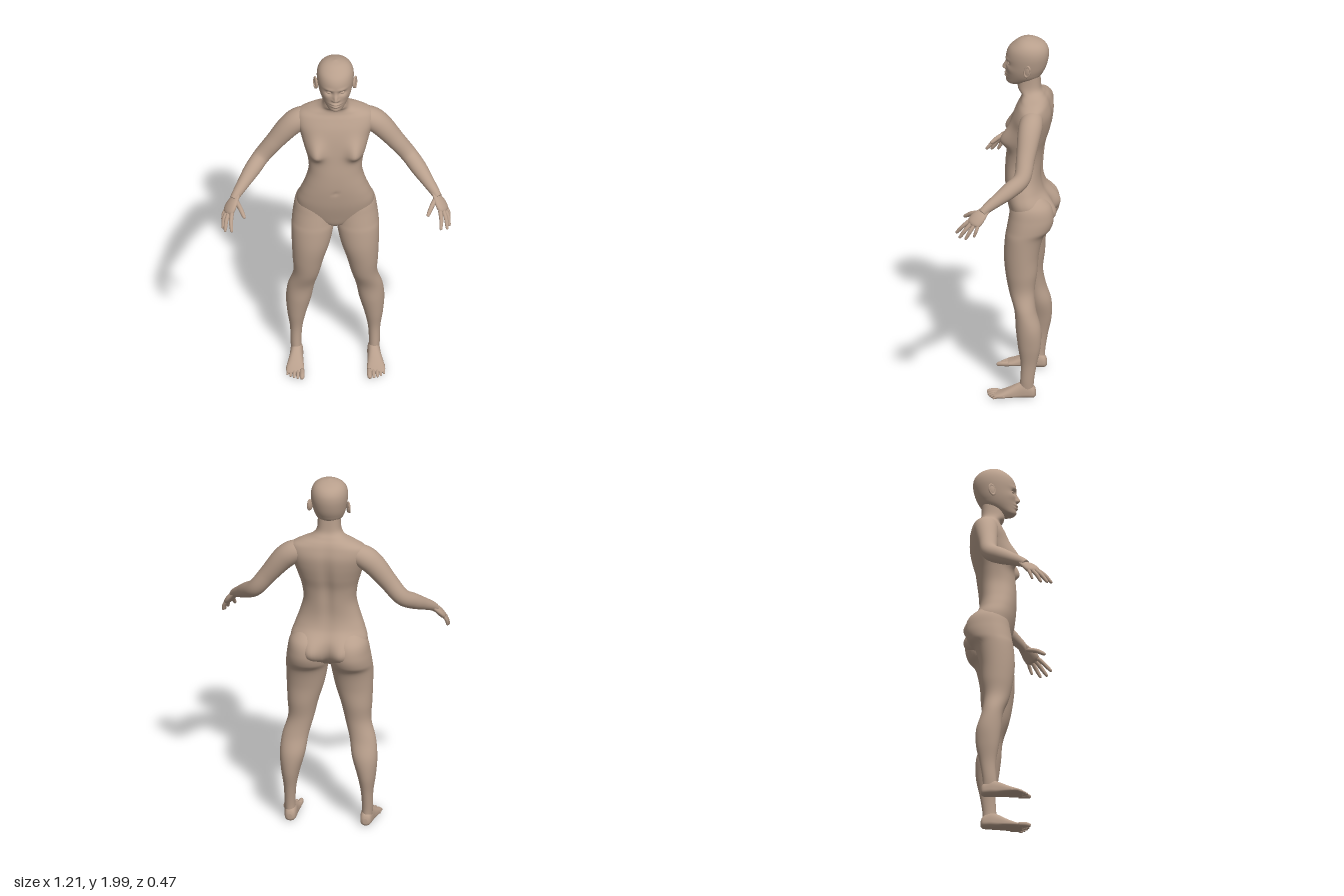
import * as THREE from 'three';

const skin = new THREE.MeshStandardMaterial({ color: 0xb89f8c });
skin.name = 'skin';

// Catmull-Rom interpolation over rows of numbers, t from 0 to 1
function rowAt(rows, t) {
  const last = rows.length - 1;
  const i = Math.min(Math.floor(t * last), last - 1), f = t * last - i;
  const [a, b, c, d] = [-1, 0, 1, 2].map(k => rows[Math.min(last, Math.max(0, i + k))]);
  return b.map((p, k) => p + 0.5 * f * (c[k] - a[k]
    + f * (2 * a[k] - 5 * p + 4 * c[k] - d[k] + f * (3 * (p - c[k]) + d[k] - a[k]))));
}

// Closed smooth skin over a list of rings
function skinRings(rings) {
  const n = rings[0].length, pos = [], idx = [];
  rings.forEach(r => r.forEach(p => pos.push(p.x, p.y, p.z)));
  for (let i = 0; i < rings.length - 1; i++) {
    for (let j = 0; j < n; j++) {
      const k = (j + 1) % n, a = i * n + j, b = i * n + k;
      idx.push(a, a + n, b, b, a + n, b + n);
    }
  }
  [0, rings.length - 1].forEach((e, end) => {
    const c = new THREE.Vector3();
    rings[e].forEach(p => c.addScaledVector(p, 1 / n));
    const m = pos.length / 3;
    pos.push(c.x, c.y, c.z);
    for (let j = 0; j < n; j++) {
      const a = e * n + j, b = e * n + (j + 1) % n;
      if (end) idx.push(m, b, a); else idx.push(m, a, b);
    }
  });
  const g = new THREE.BufferGeometry();
  g.setAttribute('position', new THREE.Float32BufferAttribute(pos, 3));
  g.setIndex(idx);
  g.computeVertexNormals();
  return g;
}

// Upright loft; rows are [y, centre x, half width, centre z, front z, back z]
function loft(rows, { steps = 60, sides = 40, power = 1, shape } = {}) {
  const rings = [];
  const pw = v => Math.sign(v) * Math.abs(v) ** power;
  for (let i = 0; i <= steps; i++) {
    const [y, cx, w, cz, front, back] = rowAt(rows, i / steps);
    rings.push(Array.from({ length: sides }, (_, j) => {
      const a = j / sides * Math.PI * 2, s = pw(Math.sin(a));
      const p = new THREE.Vector3(cx + w * pw(Math.cos(a)), y, cz + (s > 0 ? (front - cz) * s : (cz - back) * s));
      if (shape) shape(p, s);
      return p;
    }));
  }
  return skinRings(rings);
}

// Tapered limb; rows are [x, y, z, radius], optionally flattened along a direction
function limb(rows, { steps = 24, sides = 20, flatDir, flat = 1 } = {}) {
  const curve = new THREE.CatmullRomCurve3(
    Array.from({ length: steps + 1 }, (_, i) => new THREE.Vector3(...rowAt(rows, i / steps))));
  const rings = [];
  let N = new THREE.Vector3(0, 0, 1);
  for (let i = 0; i <= steps; i++) {
    const t = i / steps, r = Math.max(rowAt(rows, t)[3], 0.0005);
    const T = curve.getTangent(t);
    N = N.clone().addScaledVector(T, -N.dot(T)).normalize();
    const B = T.clone().cross(N);
    rings.push(Array.from({ length: sides }, (_, j) => {
      const a = j / sides * Math.PI * 2;
      const off = N.clone().multiplyScalar(r * Math.cos(a)).addScaledVector(B, -r * Math.sin(a));
      if (flatDir) off.addScaledVector(flatDir, -off.dot(flatDir) * (1 - flat));
      return off.add(curve.points[i]);
    }));
  }
  return skinRings(rings);
}

// Rounded digit from base to tip through a middle joint
function digit(base, mid, tip, r) {
  const b = new THREE.Vector3(...base), m = new THREE.Vector3(...mid), t = new THREE.Vector3(...tip);
  const pre = m.clone().lerp(t, 0.65), end = m.clone().lerp(t, 0.93);
  return limb([[...b, r], [...m, r], [...pre, r * 0.85], [...end, r * 0.6], [...t, 0.001]], { steps: 16, sides: 12 });
}

function mirrored(geo) {
  const g = geo.clone().scale(-1, 1, 1), ix = g.index.array;
  for (let i = 0; i < ix.length; i += 3) [ix[i], ix[i + 1]] = [ix[i + 1], ix[i]];
  g.computeVertexNormals();
  return g;
}

const bump = (dx, dy, sx, sy = sx) => Math.exp(-((dx / sx) ** 2) - (dy / sy) ** 2);

export function createModel() {
  const model = new THREE.Group();
  model.name = 'humanFigure';
  const add = (name, geo) => {
    const m = new THREE.Mesh(geo, skin);
    m.name = name;
    model.add(m);
  };
  const addPair = (name, geo) => {
    add('left' + name, geo);
    add('right' + name, mirrored(geo));
  };

  // Torso and neck, with chest, hip and spine relief
  add('torso', loft([
    [0.925, 0, 0.02, -0.05, -0.02, -0.09], [0.95, 0, 0.09, -0.06, 0, -0.13],
    [1.0, 0, 0.185, -0.08, 0.015, -0.17], [1.08, 0, 0.205, -0.08, 0.035, -0.18],
    [1.15, 0, 0.185, -0.06, 0.045, -0.155], [1.22, 0, 0.16, -0.05, 0.05, -0.145],
    [1.3, 0, 0.141, -0.05, 0.048, -0.15], [1.38, 0, 0.148, -0.06, 0.04, -0.16],
    [1.45, 0, 0.167, -0.07, 0.032, -0.18], [1.52, 0, 0.187, -0.09, 0.02, -0.195],
    [1.58, 0, 0.205, -0.1, 0.003, -0.2], [1.63, 0, 0.198, -0.11, -0.02, -0.19],
    [1.66, 0, 0.15, -0.11, -0.035, -0.178], [1.685, 0, 0.09, -0.1, -0.035, -0.16],
    [1.72, 0, 0.064, -0.08, -0.015, -0.14], [1.8, 0, 0.06, -0.08, -0.025, -0.135],
  ], { steps: 110, sides: 80, power: 0.87, shape: (p, s) => {
    const x = Math.abs(p.x);
    if (s > 0) {
      p.z += Math.min(1, s * 2) * 0.05 * bump(x - 0.108, p.y - 1.44, 0.046, p.y > 1.44 ? 0.075 : 0.042);
      p.z -= 0.006 * bump(x, p.y - 1.19, 0.012);
    } else {
      p.z -= Math.min(1, -s * 2) * 0.06 * bump(x - 0.085, p.y - 1.02, 0.07, 0.08);
      p.z += Math.min(1, -s * 2) * 0.014 * bump(x, p.y - 1.4, 0.03, 0.22);
    }
  } }));

  // Head with sculpted face
  add('head', loft([
    [1.733, 0, 0.022, 0, 0.025, -0.03], [1.742, 0, 0.042, -0.01, 0.04, -0.07],
    [1.775, 0, 0.068, -0.05, 0.046, -0.128], [1.81, 0, 0.083, -0.06, 0.047, -0.153],
    [1.85, 0, 0.092, -0.065, 0.046, -0.17], [1.9, 0, 0.098, -0.07, 0.047, -0.18],
    [1.94, 0, 0.094, -0.07, 0.033, -0.176], [1.97, 0, 0.078, -0.07, 0.003, -0.155],
    [1.99, 0, 0.048, -0.07, -0.028, -0.115], [2.0, 0, 0.004, -0.07, -0.066, -0.074],
  ], { steps: 100, sides: 112, shape: (p, s) => {
    if (s < 0.3) return;
    const x = Math.abs(p.x), y = p.y;
    p.z += 0.022 * bump(x, y - 1.822, 0.012, y > 1.822 ? 0.03 : 0.011)
      + 0.007 * bump(x - 0.014, y - 1.817, 0.008)
      + 0.011 * (bump(x, y - 1.79, 0.024, 0.007) + bump(x, y - 1.775, 0.022, 0.007))
      - 0.004 * bump(x, y - 1.783, 0.026, 0.003)
      + 0.006 * bump(x, y - 1.75, 0.025, 0.012)
      + 0.005 * bump(x - 0.035, y - 1.882, 0.026, 0.009)
      - 0.013 * bump(x - 0.034, y - 1.858, 0.018, 0.012)
      + 0.005 * bump(x - 0.055, y - 1.83, 0.02);
  } }));
  addPair('Eye', new THREE.SphereGeometry(0.013, 20, 14).scale(1.15, 0.75, 1).translate(0.034, 1.857, 0.022));
  addPair('Ear', new THREE.SphereGeometry(1, 20, 16).scale(0.008, 0.033, 0.019)
    .rotateX(-0.2).rotateY(-0.4).translate(0.101, 1.842, -0.078));
  addPair('EarRim', new THREE.TorusGeometry(0.02, 0.005, 8, 28).scale(0.8, 1.45, 1)
    .rotateY(Math.PI / 2 - 0.4).rotateX(-0.2).translate(0.106, 1.842, -0.08));

  // Legs from hip to ankle
  addPair('Leg', loft([
    [0.04, 0.202, 0.029, -0.09, -0.05, -0.13], [0.1, 0.207, 0.029, -0.094, -0.057, -0.13],
    [0.2, 0.206, 0.033, -0.1, -0.06, -0.145], [0.3, 0.203, 0.05, -0.1, -0.045, -0.165],
    [0.4, 0.193, 0.067, -0.1, -0.032, -0.165], [0.5, 0.18, 0.07, -0.08, -0.023, -0.137],
    [0.6, 0.153, 0.069, -0.06, 0.01, -0.126], [0.7, 0.143, 0.083, -0.055, 0.03, -0.138],
    [0.8, 0.13, 0.1, -0.055, 0.04, -0.145], [0.9, 0.121, 0.111, -0.06, 0.035, -0.168],
    [0.95, 0.117, 0.112, -0.075, 0.027, -0.207], [1.01, 0.113, 0.108, -0.085, 0.017, -0.222],
    [1.08, 0.11, 0.096, -0.09, 0.005, -0.205], [1.14, 0.1, 0.06, -0.08, -0.02, -0.14],
  ], { steps: 90, sides: 44 }));

  // Feet: lofted heel to ball, then tipped forward
  addPair('Foot', loft([
    [-0.14, 0.202, 0.012, -0.035, -0.02, -0.05], [-0.128, 0.202, 0.027, -0.035, -0.01, -0.075],
    [-0.09, 0.203, 0.034, -0.035, -0.008, -0.1], [-0.05, 0.206, 0.036, -0.03, -0.008, -0.088],
    [0, 0.211, 0.043, -0.025, -0.01, -0.062], [0.04, 0.214, 0.048, -0.022, -0.008, -0.042],
    [0.07, 0.214, 0.045, -0.02, -0.008, -0.03], [0.08, 0.212, 0.036, -0.02, -0.012, -0.027],
  ], { steps: 36, sides: 32, power: 0.85 }).rotateX(Math.PI / 2));
  [[0.178, 0.125, 0.0135], [0.2, 0.118, 0.0095], [0.219, 0.11, 0.009], [0.237, 0.098, 0.0085], [0.253, 0.083, 0.008]]
    .forEach(([x, z, r], i) => addPair('Toe' + (i + 1),
      digit([x, 0.022, z - 0.065], [x, 0.021, z - 0.03], [x + 0.002, r + 0.002, z], r)));

  // Arms from shoulder to wrist
  addPair('Arm', limb([
    [0.1, 1.6, -0.115, 0.04], [0.15, 1.592, -0.115, 0.056], [0.2, 1.57, -0.112, 0.063],
    [0.25, 1.525, -0.108, 0.06], [0.32, 1.436, -0.102, 0.05], [0.388, 1.348, -0.092, 0.045],
    [0.44, 1.3, -0.035, 0.043], [0.485, 1.26, 0.025, 0.034], [0.522, 1.226, 0.075, 0.026],
    [0.54, 1.205, 0.097, 0.022],
  ], { steps: 60, sides: 32 }));

  // Hands
  const palmDir = new THREE.Vector3(0.04, -0.07, 0.06);
  const palmNormal = new THREE.Vector3(-0.032, 0.01, 0.06).cross(palmDir).normalize();
  addPair('Palm', limb([
    [0.52, 1.228, 0.073, 0.024], [0.534, 1.207, 0.093, 0.031], [0.552, 1.182, 0.118, 0.042],
    [0.566, 1.158, 0.137, 0.041], [0.571, 1.147, 0.144, 0.026],
  ], { flatDir: palmNormal, flat: 0.45 }));
  addPair('Thumb', digit([0.532, 1.205, 0.1], [0.507, 1.187, 0.155], [0.483, 1.155, 0.203], 0.0125));
  [['Index', [0.55, 1.163, 0.163], [0.556, 1.132, 0.197], [0.553, 1.088, 0.236], 0.011],
    ['Middle', [0.566, 1.157, 0.15], [0.581, 1.122, 0.18], [0.588, 1.075, 0.214], 0.011],
    ['Ring', [0.576, 1.153, 0.132], [0.593, 1.118, 0.155], [0.6, 1.072, 0.18], 0.0105],
    ['Little', [0.58, 1.155, 0.111], [0.595, 1.126, 0.121], [0.601, 1.09, 0.133], 0.009]]
    .forEach(([n, b, m, t, r]) => addPair(n + 'Finger', digit(b, m, t, r)));

  return model;
}
